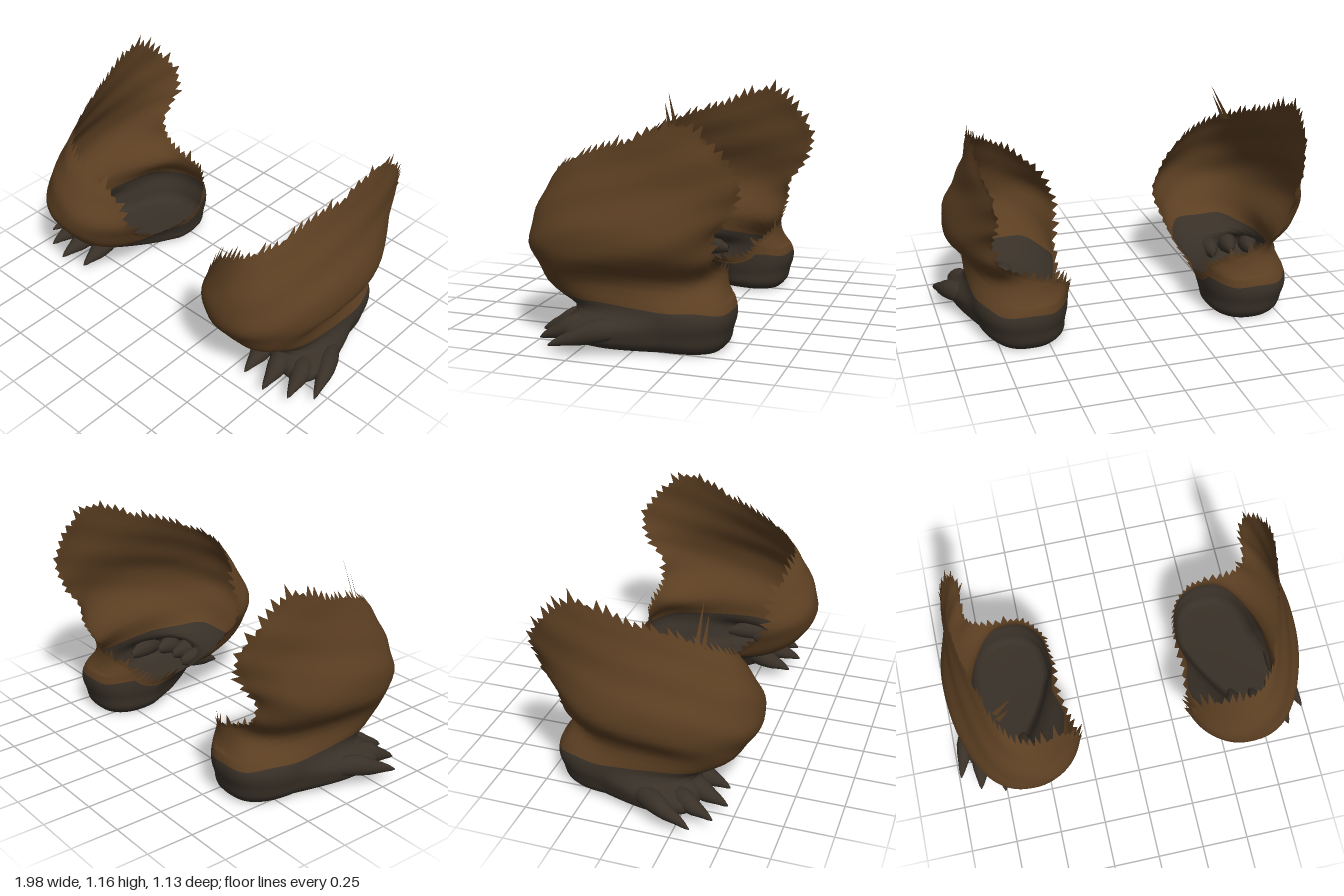
import * as THREE from 'three';

const brown = new THREE.MeshStandardMaterial({ name: 'brown fur', color: 0x5c3f22, side: THREE.DoubleSide });
const dark = new THREE.MeshStandardMaterial({ name: 'dark skin', color: 0x393128, side: THREE.DoubleSide });

// Small seeded random generator
function seeded(seed) {
  return () => (seed = (seed * 16807) % 2147483647) / 2147483647;
}

// Skins a stack of closed rings; rows from furRow upwards use the second material
function loft(rings, mirror, capRow, furRow = rings.length) {
  const n = rings[0].length, pos = [], low = [], high = [];
  for (const ring of rings) for (const p of ring) pos.push(p[0] * mirror, p[1], p[2]);
  const tri = (list, a, b, c) => (mirror > 0 ? list.push(a, b, c) : list.push(a, c, b));
  for (let i = 0; i < rings.length - 1; i++) {
    const list = i < furRow ? low : high;
    for (let j = 0; j < n; j++) {
      const a = i * n + j, b = i * n + (j + 1) % n;
      tri(list, a, a + n, b);
      tri(list, b, a + n, b + n);
    }
  }
  // One end is closed, the other stays open
  const mid = [0, 1, 2].map(k => rings[capRow].reduce((s, p) => s + p[k], 0) / n);
  const o = pos.length / 3;
  pos.push(mid[0] * mirror, mid[1], mid[2]);
  for (let j = 0; j < n; j++) {
    const a = capRow * n + j, b = capRow * n + (j + 1) % n;
    if (capRow) tri(low, o, b, a); else tri(low, o, a, b);
  }
  const geo = new THREE.BufferGeometry();
  geo.setAttribute('position', new THREE.Float32BufferAttribute(pos, 3));
  geo.setIndex([...low, ...high]);
  geo.addGroup(0, low.length, 0);
  geo.addGroup(low.length, high.length, 1);
  geo.computeVertexNormals();
  return geo;
}

const power = (v, p) => Math.sign(v) * Math.abs(v) ** p;
const { clamp, degToRad, smoothstep } = THREE.MathUtils;

// Leg outline by height: y, inner x, outer x, back z, front z
const outline = [
  [0.00, 0.40, 0.79, -0.39, 0.27], [0.03, 0.37, 0.82, -0.42, 0.33],
  [0.10, 0.36, 0.84, -0.44, 0.36], [0.15, 0.355, 0.85, -0.455, 0.335],
  [0.19, 0.355, 0.85, -0.458, 0.31], [0.24, 0.345, 0.855, -0.45, 0.41],
  [0.29, 0.33, 0.86, -0.435, 0.475], [0.36, 0.31, 0.88, -0.42, 0.52],
  [0.47, 0.30, 0.93, -0.40, 0.56], [0.60, 0.32, 0.925, -0.40, 0.545],
  [0.70, 0.34, 0.905, -0.51, 0.525], [0.85, 0.40, 0.89, -0.60, 0.45],
  [1.00, 0.45, 0.875, -0.57, 0.31], [1.20, 0.50, 0.82, -0.50, 0.08],
];
const outlineAt = new THREE.CubicInterpolant(
  outline.map(r => r[0]), outline.flatMap(r => r.slice(1)), 4, new Float32Array(4));

// Muscle bulges and hollows: angle, height, vertical reach, amount
const bulges = [
  [50, 0.98, 0.22, -0.07], [315, 0.60, 0.13, 0.055], [315, 0.34, 0.09, -0.065],
  [133, 0.52, 0.17, 0.05], [140, 0.04, 0.11, -0.07],
];

// Rim height by angle in degrees: 0 outer, 90 front, 180 inner, 270 back
const rim = [
  [0, 1.09], [10, 1.06], [20, 1.02], [46, 0.97], [70, 0.90], [90, 0.85], [110, 0.79],
  [128, 0.72], [140, 0.64], [149, 0.45], [160, 0.29], [172, 0.21], [190, 0.19],
  [207, 0.23], [222, 0.30], [245, 0.36], [270, 0.40], [291, 0.47], [298, 0.66],
  [306, 0.86], [320, 0.99], [331, 1.06], [345, 1.11], [360, 1.09],
];

function legPoint(angle, y, swell = 0) {
  const [x0, x1, z0, z1] = outlineAt.evaluate(y);
  let bump = swell + (y > 0.25 ? 0.007 * Math.sin(3 * angle + 14 * y) * Math.sin(19 * y + 2 * angle) : 0);
  for (const [deg, height, reach, amount] of bulges) {
    const lobe = Math.max(0, Math.cos(angle - degToRad(deg))) ** 2;
    bump += amount * lobe * Math.exp(-(((y - height) / reach) ** 2));
  }
  const p = clamp(0.7 + y * 0.4, 0.8, 1);
  const z = (z0 + z1) / 2 + ((z1 - z0) / 2 + bump) * power(Math.sin(angle), p);
  const x = (x0 + x1) / 2 + ((x1 - x0) / 2 + bump) * power(Math.cos(angle), p);
  // The foot splays outward and its sole rises toward the toes
  const low = 1 - smoothstep(y, 0.12, 0.23);
  return [x + low * 0.33 * Math.max(z + 0.15, 0), y + Math.max(0, 0.1 - y) * 0.6 * (z + 0.4), z];
}

// Hollow leg with a ragged fur rim
function legShell(mirror, random) {
  const columns = 150, skinRows = 12, furRows = 20, spread = 0.45;
  const curve = new THREE.CatmullRomCurve3(
    rim.map(([deg, h]) => new THREE.Vector3(degToRad(deg) * spread, h, 0)));
  const edge = curve.getSpacedPoints(columns).slice(0, columns);
  const rings = [];
  for (let i = 0; i <= skinRows + furRows + 1; i++) {
    rings.push(edge.map((p, j) => {
      const angle = p.x / spread, top = p.y - 0.02;
      const border = Math.min(top - 0.01, 0.235 + 0.032 * Math.sin(angle) + 0.005 * Math.sin(7 * angle));
      if (i <= skinRows) return legPoint(angle, border * i / skinRows);
      if (i <= skinRows + furRows) {
        return legPoint(angle, border + (top - border) * (i - skinRows) / furRows);
      }
      // Fur tips point away from the rim
      const next = edge[(j + 1) % columns], prev = edge[(j + columns - 1) % columns];
      const dx = Math.abs(next.x - prev.x) < 1 ? next.x - prev.x : 0.05, dy = next.y - prev.y;
      const len = Math.hypot(dx, dy);
      const tip = j % 2 ? 0.02 + 0.055 * random() : 0.004 + 0.01 * random();
      return legPoint(angle - dy / len * tip / spread, top + Math.max(dx / len, 0.15) * tip, j % 2 ? 0.012 : 0);
    }));
  }
  return new THREE.Mesh(loft(rings, mirror, 0, skinRows), [dark, brown]);
}

// Four hollow knuckled toes ending in claws: start x, z and tip x, z
function toes(mirror) {
  const group = new THREE.Group();
  group.name = 'toes';
  const steps = [
    [0, 0.12, 0.012, 0.02], [0.15, 0.125, 0.036, 0.042], [0.32, 0.127, 0.054, 0.056],
    [0.48, 0.12, 0.056, 0.056], [0.6, 0.107, 0.048, 0.048], [0.72, 0.094, 0.035, 0.035],
    [0.83, 0.084, 0.024, 0.026], [0.93, 0.072, 0.014, 0.016], [1, 0.062, 0.003, 0.004],
  ];
  for (const [x0, z0, x1, z1] of [[0.855, 0.0, 0.985, 0.345], [0.82, 0.17, 0.885, 0.43],
    [0.715, 0.2, 0.755, 0.47], [0.6, 0.18, 0.61, 0.44]]) {
    const rings = steps.map(([t, y, rx, ry]) => Array.from({ length: 14 }, (_, k) => {
      const a = k / 14 * Math.PI * 2;
      return [x0 + (x1 - x0) * t + rx * Math.cos(a), y - ry * Math.sin(a), z0 + (z1 - z0) * t];
    }));
    const toe = new THREE.Mesh(loft(rings, mirror, rings.length - 1), dark);
    toe.name = 'toe';
    group.add(toe);
  }
  return group;
}

// Long loose fur strand
function strand(base, tip) {
  const geo = new THREE.BufferGeometry();
  geo.setAttribute('position', new THREE.Float32BufferAttribute([
    base[0], base[1], base[2] - 0.01, ...tip, base[0] + 0.02, base[1], base[2] + 0.01,
  ], 3));
  geo.computeVertexNormals();
  const mesh = new THREE.Mesh(geo, brown);
  mesh.name = 'furStrand';
  return mesh;
}

export function createModel() {
  const model = new THREE.Group();
  model.name = 'furryLegs';
  for (const [name, mirror, seed] of [['leftLeg', 1, 71], ['rightLeg', -1, 4127]]) {
    const leg = new THREE.Group();
    leg.name = name;
    const shell = legShell(mirror, seeded(seed));
    shell.name = 'legShell';
    leg.add(shell, toes(mirror));
    if (mirror < 0) {
      leg.add(strand([-0.71, 0.89, 0.29], [-0.6, 1.09, 0.295]));
      leg.add(strand([-0.7, 0.88, 0.32], [-0.62, 1.03, 0.325]));
    }
    model.add(leg);
  }
  return model;
}
